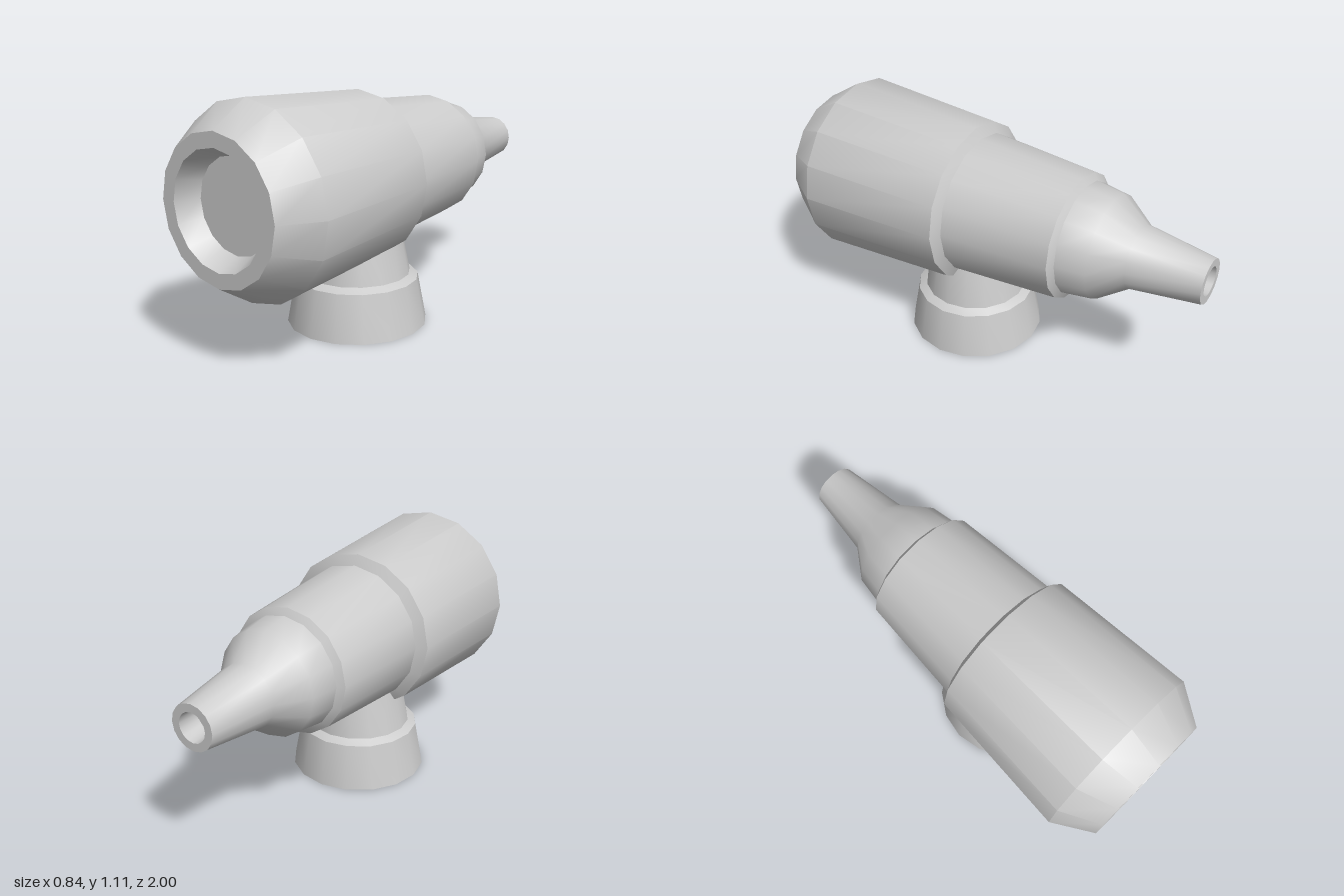
import * as THREE from 'three';
import { toCreasedNormals } from 'three/addons/utils/BufferGeometryUtils.js';

const SIDES = 16;
const CREASE = THREE.MathUtils.degToRad(40);

// Turned part from [radius, height] pairs, keeping the steps sharp
function turned(profile) {
  const points = profile.map(([r, h]) => new THREE.Vector2(r, h));
  return toCreasedNormals(new THREE.LatheGeometry(points, SIDES), CREASE);
}

export function createModel() {
  const group = new THREE.Group();

  // Stepped barrel: rear bore, nozzle, shoulder, sleeves, chamfer, front recess
  const barrel = new THREE.Mesh(
    turned([
      [0, -0.9], [0.06, -0.9], [0.066, -1],
      [0.102, -1], [0.145, -0.68], [0.24, -0.545], [0.26, -0.41],
      [0.292, -0.39], [0.33, 0.125],
      [0.378, 0.15], [0.42, 0.83], [0.313, 1],
      [0.248, 1], [0.203, 0.9], [0, 0.9],
    ]).rotateX(Math.PI / 2),
    new THREE.MeshStandardMaterial({ color: 0xcccccc })
  );
  barrel.name = 'barrel';
  barrel.position.y = 0.692;
  group.add(barrel);

  // Hollow two-step stand, open at the bottom, running up into the barrel
  const stand = new THREE.Mesh(
    turned([[0.323, 0], [0.283, 0.215], [0.245, 0.235], [0.204, 0.45]]),
    new THREE.MeshStandardMaterial({ color: 0xcccccc, side: THREE.DoubleSide })
  );
  stand.name = 'stand';
  stand.position.z = 0.167;
  group.add(stand);

  return group;
}
